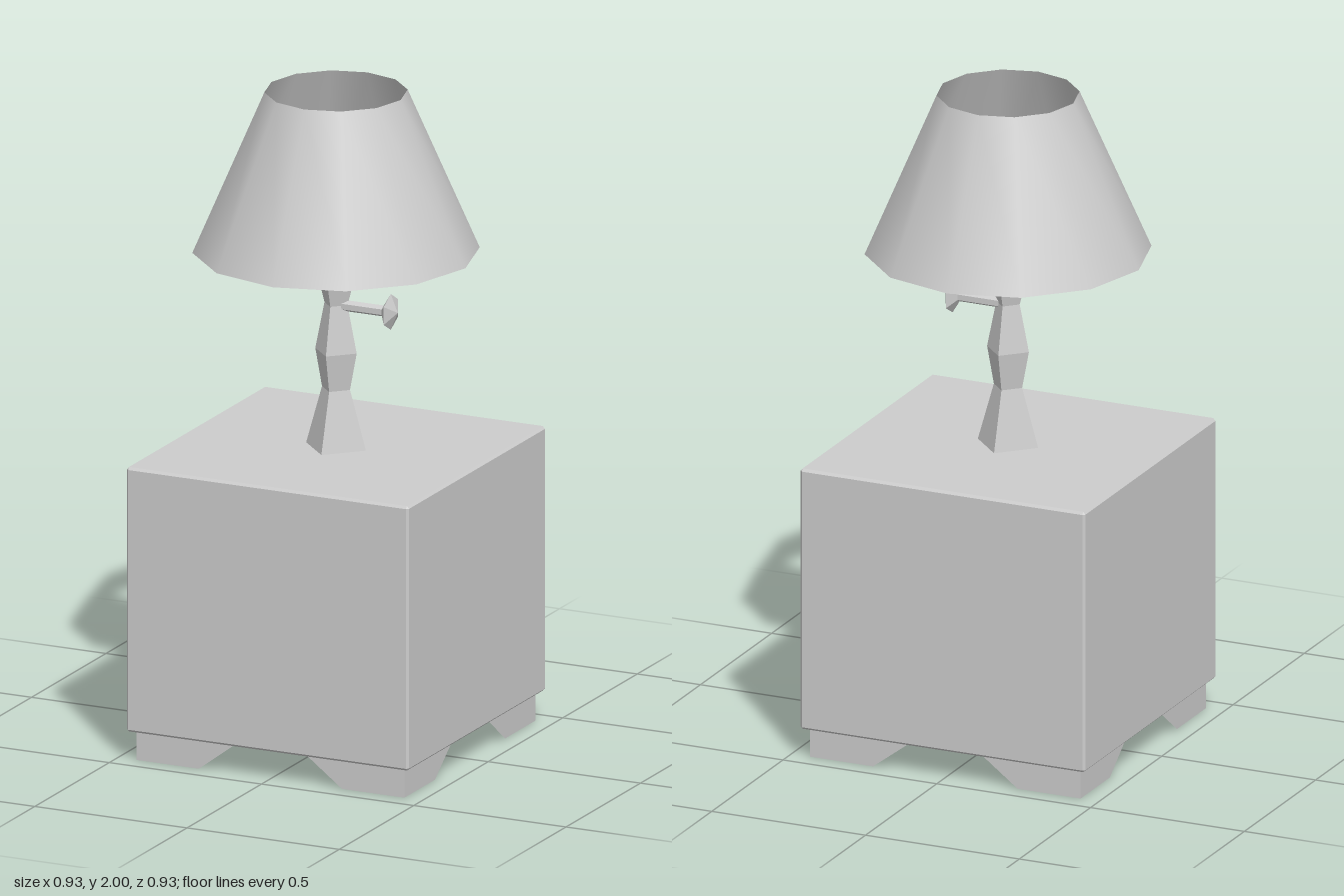
import * as THREE from 'three';

const grey = new THREE.MeshStandardMaterial({ color: 0xcccccc, side: THREE.DoubleSide });
grey.name = 'plain grey';

function part(name, geometry, parent) {
  const mesh = new THREE.Mesh(geometry, grey);
  mesh.name = name;
  parent.add(mesh);
  return mesh;
}

function faceted(geometry) {
  const flat = geometry.toNonIndexed();
  flat.computeVertexNormals();
  return flat;
}

// Turned profile given as [radius, height] pairs
function turned(profile, sides, start = 0) {
  return new THREE.LatheGeometry(profile.map(([r, y]) => new THREE.Vector2(r, y)), sides, start);
}

// Square ring with clipped corners, counter-clockwise from above
function clippedSquare(half, clip, y) {
  const ring = [];
  const k = half - clip;
  for (let i = 0; i < 4; i++) {
    for (const [x, z] of [[half, k], [half, -k]]) {
      const p = new THREE.Vector3(x, y, z);
      ring.push(p.applyAxisAngle(new THREE.Vector3(0, 1, 0), i * Math.PI / 2));
    }
  }
  return ring;
}

// Flat-faced skin through rings stacked from bottom to top
function loft(rings) {
  const points = [];
  for (let i = 0; i < rings.length - 1; i++) {
    const a = rings[i], b = rings[i + 1];
    for (let j = 0; j < a.length; j++) {
      const n = (j + 1) % a.length;
      points.push(a[j], a[n], b[n], a[j], b[n], b[j]);
    }
  }
  const geometry = new THREE.BufferGeometry().setFromPoints(points);
  geometry.computeVertexNormals();
  return geometry;
}

export function createModel() {
  const model = new THREE.Group();
  model.name = 'bedsideTableWithLamp';

  // Hollow cabinet with bevelled edges and an open underside
  const table = new THREE.Group();
  table.name = 'table';
  model.add(table);
  part('cabinet', loft([
    clippedSquare(0.44, 0, 0.09),
    clippedSquare(0.456, 0, 0.09),
    clippedSquare(0.463, 0.007, 0.097),
    clippedSquare(0.463, 0.007, 0.897),
    clippedSquare(0.456, 0, 0.905),
    clippedSquare(0, 0, 0.905),
  ]), table);

  // Corner feet: two thin tapered plates meeting at each corner
  for (let i = 0; i < 4; i++) {
    for (const s of [-1, 1]) {
      const outline = [[0.44, 0.09], [0.44, 0], [0.235, 0], [0.116, 0.09]];
      const shape = new THREE.Shape(outline.map(([x, y]) => new THREE.Vector2(s * x, y)));
      const plate = new THREE.ShapeGeometry(shape).translate(0, 0, 0.44).rotateY(i * Math.PI / 2);
      part('footPlate', plate, table);
    }
  }

  const lamp = new THREE.Group();
  lamp.name = 'lamp';
  model.add(lamp);

  // Four-sided post
  part('lampPost', faceted(turned([
    [0.098, 0.905], [0.046, 1.085], [0.068, 1.2], [0.038, 1.345],
    [0.07, 1.465], [0.068, 1.515], [0.028, 1.87], [0, 1.87],
  ], 4)), lamp);

  // Six-sided switch on the left of the post
  const knob = part('switchKnob', faceted(turned([
    [0.017, 0.02], [0.017, 0.157], [0.055, 0.18], [0, 0.203],
  ], 6, Math.PI / 2)), lamp);
  knob.rotation.z = -Math.PI / 2;
  knob.position.y = 1.343;

  // Open twelve-sided shade, smooth around
  part('lampShade', turned([[0.425, 1.51], [0.212, 2]], 12), lamp);

  return model;
}
